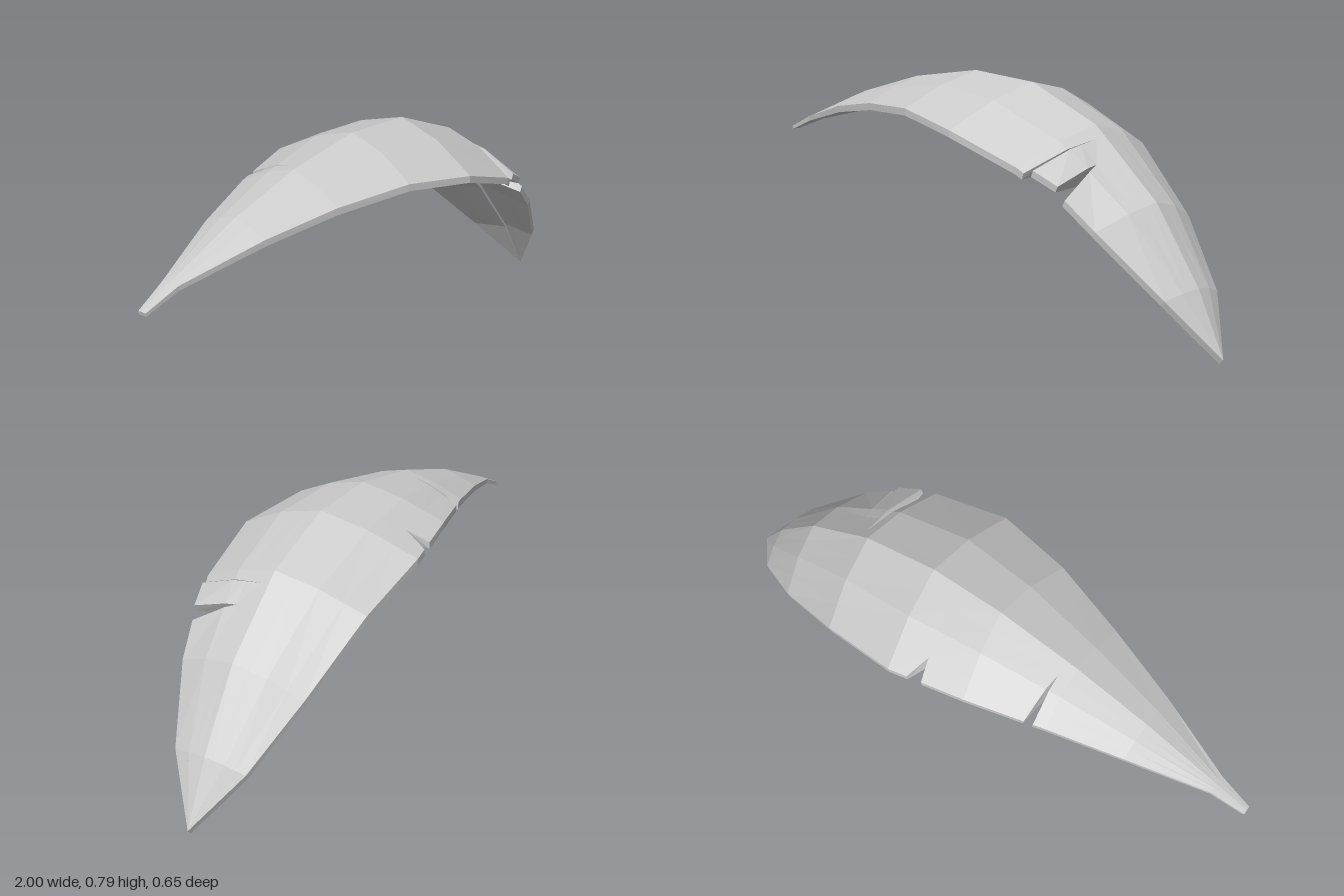
import * as THREE from 'three';

// Stations along the leaf: spine x, spine y, edge x, edge y, half width, z shift,
// tilt (front rim up, back rim down) and rim thickness
const STATIONS = [
  [-1.0, 0.482, -1.0, 0.48, 0.015, 0, 0, 0.012],
  [-0.88, 0.537, -0.88, 0.532, 0.033, 0, 0, 0.016],
  [-0.6, 0.655, -0.6, 0.615, 0.125, 0, 0, 0.022],
  [-0.33, 0.737, -0.35, 0.663, 0.2, 0, 0, 0.024],
  [-0.04, 0.787, -0.09, 0.685, 0.275, 0, 0, 0.024],
  [0.22, 0.775, 0.17, 0.657, 0.324, 0, -0.005, 0.023],
  [0.49, 0.67, 0.435, 0.565, 0.295, -0.002, 0, 0.022],
  [0.735, 0.46, 0.685, 0.383, 0.224, -0.007, 0.012, 0.02],
  [0.9, 0.22, 0.873, 0.19, 0.129, -0.012, 0.009, 0.02],
  [1.0, 0.017, 0.999, 0.017, 0.001, -0.013, 0, 0.021],
];
// Tears in the rim: edge positions a and b, tip position, tip depth, lift of each lip
const FRONT_TEARS = [
  { a: 6.08, b: 6.2, tip: 6.14, depth: 0.11, liftA: 0, liftB: 0.032 },
  { a: 6.52, b: 6.61, tip: 6.39, depth: 0.34, liftA: 0.045, liftB: 0.02 },
];
const BACK_TEARS = [
  { a: 3.15, b: 3.26, tip: 3.14, depth: 0.24, liftA: 0, liftB: 0 },
  { a: 4.56, b: 4.75, tip: 4.58, depth: 0.76, liftA: 0, liftB: 0 },
];

// Direction of the thickness at a station: the spine normal, leaning towards vertical
function thicknessDirection(i) {
  const p = STATIONS[Math.max(i - 1, 0)];
  const q = STATIONS[Math.min(i + 1, STATIONS.length - 1)];
  const normal = new THREE.Vector3(p[1] - q[1], q[0] - p[0], 0).normalize();
  normal.y += 0.6;
  return normal.normalize();
}

// Upper and lower surface points at u along the spine and v from spine to rim
function surfacePoint(u, v, side, lift) {
  const i = Math.min(Math.floor(u), STATIONS.length - 2);
  const f = u - i;
  const [spineX, spineY, edgeX, edgeY, halfWidth, shift, tilt, thickness] = STATIONS[i].map(
    (value, k) => THREE.MathUtils.lerp(value, STATIONS[i + 1][k], f),
  );
  const at = (drop) => new THREE.Vector3(
    THREE.MathUtils.lerp(spineX, edgeX, drop),
    THREE.MathUtils.lerp(spineY, edgeY + side * tilt, drop) + lift,
    shift + side * v * halfWidth,
  );
  // The top bends once, halfway to the rim; the underside is a shallower V
  const top = at(v < 0.5 ? 0.7 * v : 0.35 + 1.3 * (v - 0.5));
  const direction = thicknessDirection(i).lerp(thicknessDirection(i + 1), f).normalize();
  return { top, bottom: at(0.6 + 0.4 * v).addScaledVector(direction, -thickness) };
}

function halfLeaf(side, tears) {
  const positions = [];
  const quad = (a, b, c, d, reverse = false) => {
    const p = (side < 0) !== reverse ? [a, d, c, b] : [a, b, c, d];
    for (const k of [0, 1, 2, 0, 2, 3]) positions.push(p[k].x, p[k].y, p[k].z);
  };

  // Rows across the half, columns along it; each tear adds two columns meeting at its tip
  const rows = [...new Set([0, 0.5, 1, ...tears.map((t) => t.depth)])].sort((a, b) => a - b);
  const columns = STATIONS.map((_, i) => ({ edge: i, tip: i, depth: 0, lift: 0, wall: 0 }));
  columns[0].wall = -1;
  columns[columns.length - 1].wall = 1;
  for (const t of tears) {
    columns.push({ edge: t.a, tip: t.tip, depth: t.depth, lift: t.liftA, wall: 1, gap: true });
    columns.push({ edge: t.b, tip: t.tip, depth: t.depth, lift: t.liftB, wall: -1 });
  }
  columns.sort((p, q) => p.edge - q.edge);
  for (const c of columns) {
    c.points = rows.map((v) => {
      const r = Math.max(0, (v - c.depth) / (1 - c.depth));
      return surfacePoint(THREE.MathUtils.lerp(c.tip, c.edge, r), v, side, r * c.lift);
    });
  }

  const last = rows.length - 1;
  columns.forEach((c, n) => {
    // Cut faces at tears and at both ends
    for (let j = 0; j < last; j++) {
      if (c.wall && rows[j] >= c.depth) {
        const [p, q] = [c.points[j], c.points[j + 1]];
        quad(p.top, q.top, q.bottom, p.bottom, c.wall < 0);
      }
    }
    // Upper skin, lower skin and rim up to the next column
    if (c.gap || n === columns.length - 1) return;
    const a = c.points;
    const b = columns[n + 1].points;
    for (let j = 0; j < last; j++) {
      quad(a[j].top, a[j + 1].top, b[j + 1].top, b[j].top);
      quad(a[j].bottom, a[j + 1].bottom, b[j + 1].bottom, b[j].bottom, true);
    }
    quad(a[last].top, a[last].bottom, b[last].bottom, b[last].top);
  });

  const geometry = new THREE.BufferGeometry();
  geometry.setAttribute('position', new THREE.Float32BufferAttribute(positions, 3));
  geometry.computeVertexNormals();
  return geometry;
}

export function createModel() {
  const leaf = new THREE.Group();
  leaf.name = 'leaf';
  const material = new THREE.MeshStandardMaterial({ color: 0xcccccc, flatShading: true });
  for (const [name, side, tears] of [
    ['frontLeafHalf', 1, FRONT_TEARS],
    ['backLeafHalf', -1, BACK_TEARS],
  ]) {
    const mesh = new THREE.Mesh(halfLeaf(side, tears), material);
    mesh.name = name;
    leaf.add(mesh);
  }
  return leaf;
}
